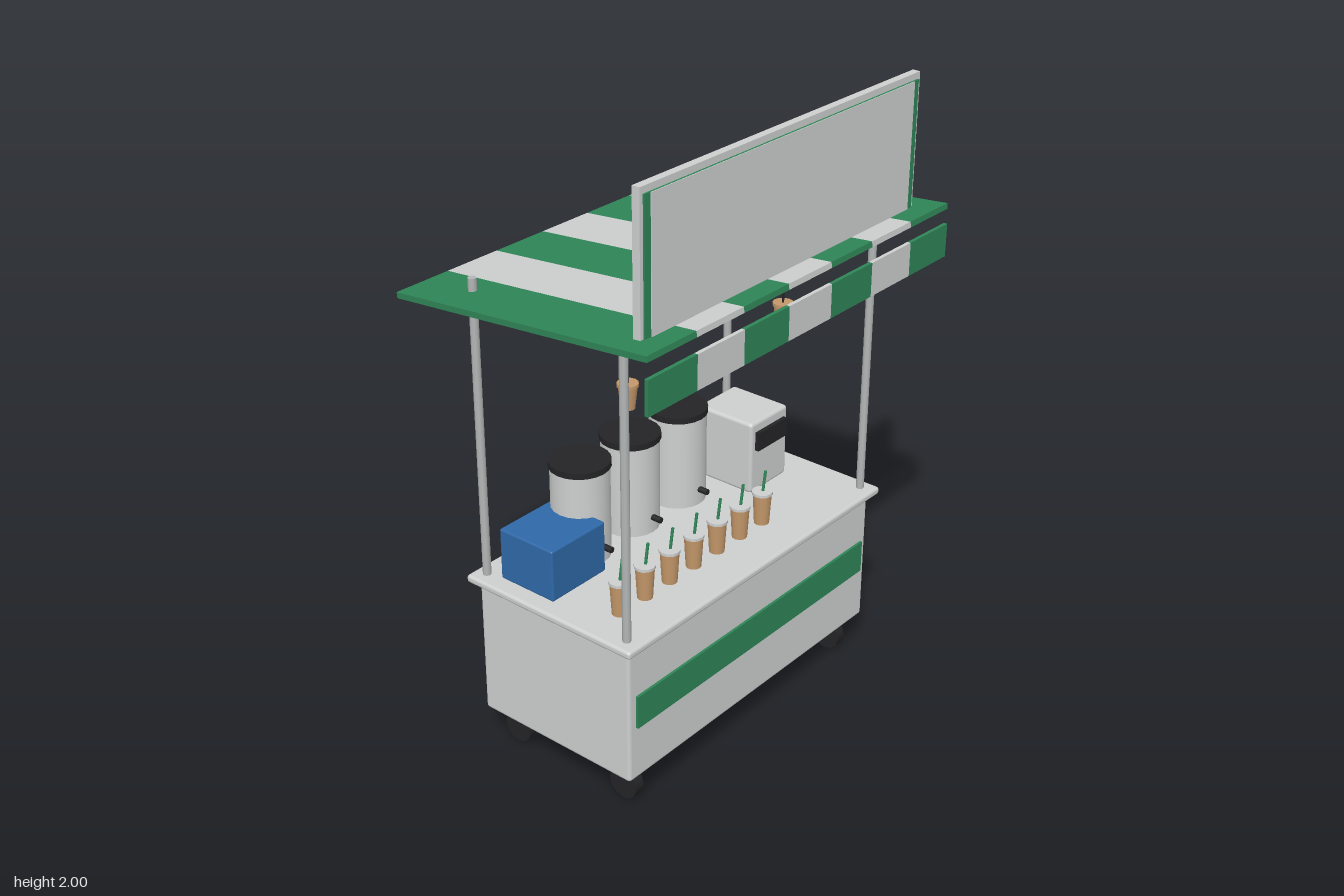
import * as THREE from 'three';
import { RoundedBoxGeometry } from 'three/addons/geometries/RoundedBoxGeometry.js';

function mat(name, color) {
  const m = new THREE.MeshStandardMaterial({ color });
  m.name = name;
  return m;
}

export function createModel() {
  const root = new THREE.Group();
  root.name = 'drinksCart';
  const steel = mat('lightSteel', 0xcdd0cf);
  const poleGrey = mat('poleGrey', 0xb4b7b7);
  const green = mat('green', 0x2f8557);
  const black = mat('black', 0x242426);
  const red = mat('red', 0xb03a35);
  const blue = mat('blue', 0x2f69a8);
  const tan = mat('tan', 0xc4986a);

  function add(name, geo, material, x, y, z, parent = root) {
    const m = new THREE.Mesh(geo, material);
    m.name = name;
    m.position.set(x, y, z);
    parent.add(m);
    return m;
  }
  const box = (w, h, d) => new THREE.BoxGeometry(w, h, d);
  const rbox = (w, h, d, r) => new RoundedBoxGeometry(w, h, d, 2, r);
  const cyl = (rt, rb, h, n = 16) => new THREE.CylinderGeometry(rt, rb, h, n);

  // Cart body, counter and front stripe
  add('cartBody', rbox(1.18, 0.46, 0.59, 0.012), steel, 0, 0.353, 0.055);
  add('counter', rbox(1.235, 0.026, 0.645, 0.01), steel, 0, 0.594, 0.055);
  add('frontStripe', box(1.12, 0.11, 0.009), green, 0, 0.363, 0.354);

  // Casters
  for (const x of [-0.515, 0.515]) for (const z of [0.272, -0.161]) {
    const caster = new THREE.Group();
    caster.name = 'caster';
    caster.position.set(x, 0, z);
    root.add(caster);
    add('wheel', cyl(0.052, 0.052, 0.036, 12), black, 0, 0.052, 0, caster).rotation.z = Math.PI / 2;
    add('fork', box(0.032, 0.045, 0.036), black, 0, 0.105, 0, caster);
  }

  // Canopy poles, the back pair pokes through the roof
  for (const x of [-0.573, 0.573]) {
    add('frontPole', cyl(0.013, 0.013, 0.915, 8), poleGrey, x, 1.06, 0.33);
    add('backPole', cyl(0.013, 0.013, 0.965, 8), poleGrey, x, 1.085, -0.223);
  }

  // Striped canopy and hanging valance
  const canopy = new THREE.Group();
  canopy.name = 'canopy';
  canopy.position.set(0, 1.544, 0.053);
  canopy.rotation.x = -Math.atan2(0.083, 0.912);
  root.add(canopy);
  const sw = 1.38 / 7;
  for (let i = 0; i < 7; i++) {
    const m = i % 2 ? steel : green;
    const x = (i - 3) * sw;
    add('canopyStripe', box(sw, 0.018, 0.918), m, x, 0, 0, canopy);
    add('valanceStripe', box(sw, 0.105, 0.012), m, x, 1.477, 0.508);
  }

  // Sign board with a green border panel and a plain face
  add('signBoard', box(1.24, 0.458, 0.025), steel, 0, 1.771, 0.417);
  add('signBorder', box(1.215, 0.42, 0.006), green, 0, 1.77, 0.432);
  add('signFace', box(1.168, 0.419, 0.003), steel, 0, 1.77, 0.436);

  // Drink dispensers
  for (const x of [-0.298, -0.07, 0.158]) {
    add('dispenser', cyl(0.092, 0.092, 0.305, 20), steel, x, 0.759, -0.092);
    add('dispenserLid', cyl(0.096, 0.096, 0.02, 20), black, x, 0.92, -0.092);
    add('tap', cyl(0.01, 0.01, 0.035, 8), black, x, 0.66, 0.015).rotation.x = Math.PI / 2;
  }

  // Counter machine with screen, and cooler
  add('counterMachine', rbox(0.19, 0.25, 0.22, 0.012), steel, 0.404, 0.731, -0.024);
  add('machineScreen', box(0.148, 0.064, 0.015), black, 0.404, 0.79, 0.092);
  add('cooler', rbox(0.23, 0.17, 0.21, 0.006), blue, -0.446, 0.691, -0.07);

  // Row of cups with lids and leaning straws
  for (let i = 0; i < 7; i++) {
    const cup = new THREE.Group();
    cup.name = 'cup';
    cup.position.set(-0.478 + i * 0.112, 0.606, 0.22);
    root.add(cup);
    add('cupBody', cyl(0.03, 0.024, 0.104, 12), tan, 0, 0.052, 0, cup);
    add('cupLid', cyl(0.033, 0.033, 0.009, 12), steel, 0, 0.108, 0, cup);
    add('straw', cyl(0.005, 0.005, 0.09, 6), green, 0.007, 0.133, 0, cup).rotation.z = -0.17;
  }

  // Cups hung from the canopy
  for (const x of [-0.36, 0.36]) {
    add('hangingCord', cyl(0.004, 0.004, 0.24, 6), black, x, 1.4, 0.156);
    add('hangingCup', cyl(0.029, 0.021, 0.07, 12), tan, x, 1.24, 0.156);
    add('hangingCupRim', cyl(0.032, 0.032, 0.01, 12), tan, x, 1.279, 0.156);
  }

  // Waste barrel behind the cart
  add('barrel', cyl(0.107, 0.107, 0.408, 12), red, 0.36, 0.204, -0.406);

  return root;
}
